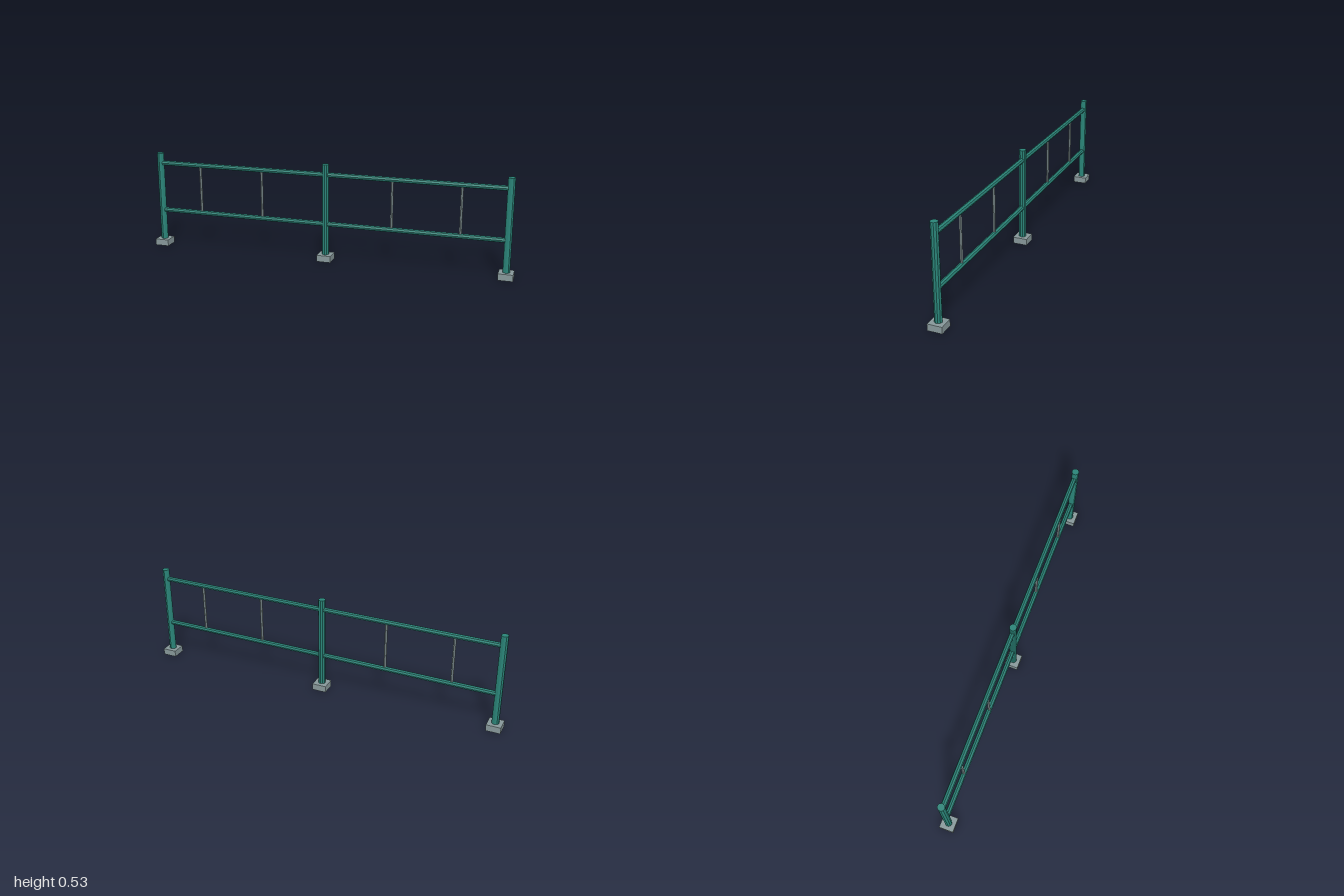
import * as THREE from 'three';

const POST_X = [-0.961, 0, 0.961];
const RAIL_Y = [0.204, 0.474];

export function createModel() {
  const group = new THREE.Group();
  const paint = new THREE.MeshStandardMaterial({ color: 0x2a8478, flatShading: true });
  const concrete = new THREE.MeshStandardMaterial({ color: 0x87989a, flatShading: true });
  const steel = new THREE.MeshStandardMaterial({ color: 0x87989a, flatShading: true });

  const add = (name, geometry, material, x, y) => {
    const mesh = new THREE.Mesh(geometry, material);
    mesh.name = name;
    mesh.position.set(x, y, 0);
    group.add(mesh);
    return mesh;
  };

  // Posts standing on square footings
  const footing = new THREE.BoxGeometry(0.077, 0.035, 0.077);
  const post = new THREE.CylinderGeometry(0.0192, 0.0192, 0.496, 10);
  for (const x of POST_X) {
    add('footing', footing, concrete, x, 0.0175);
    add('post', post, paint, x, 0.282);
  }

  // Two horizontal rails in each bay
  const bay = POST_X[2];
  const rail = new THREE.CylinderGeometry(0.0138, 0.0138, bay, 8).rotateZ(Math.PI / 2);
  for (const side of [-1, 1]) {
    for (const y of RAIL_Y) add(y === RAIL_Y[0] ? 'lowerRail' : 'upperRail', rail, paint, side * bay / 2, y);
  }

  // Thin upright bars between the rails
  const bar = new THREE.CylinderGeometry(0.0075, 0.0075, RAIL_Y[1] - RAIL_Y[0], 6);
  for (const x of [-0.72, -0.36, 0.36, 0.72]) {
    add('uprightBar', bar, steel, x, (RAIL_Y[0] + RAIL_Y[1]) / 2);
  }

  return group;
}
